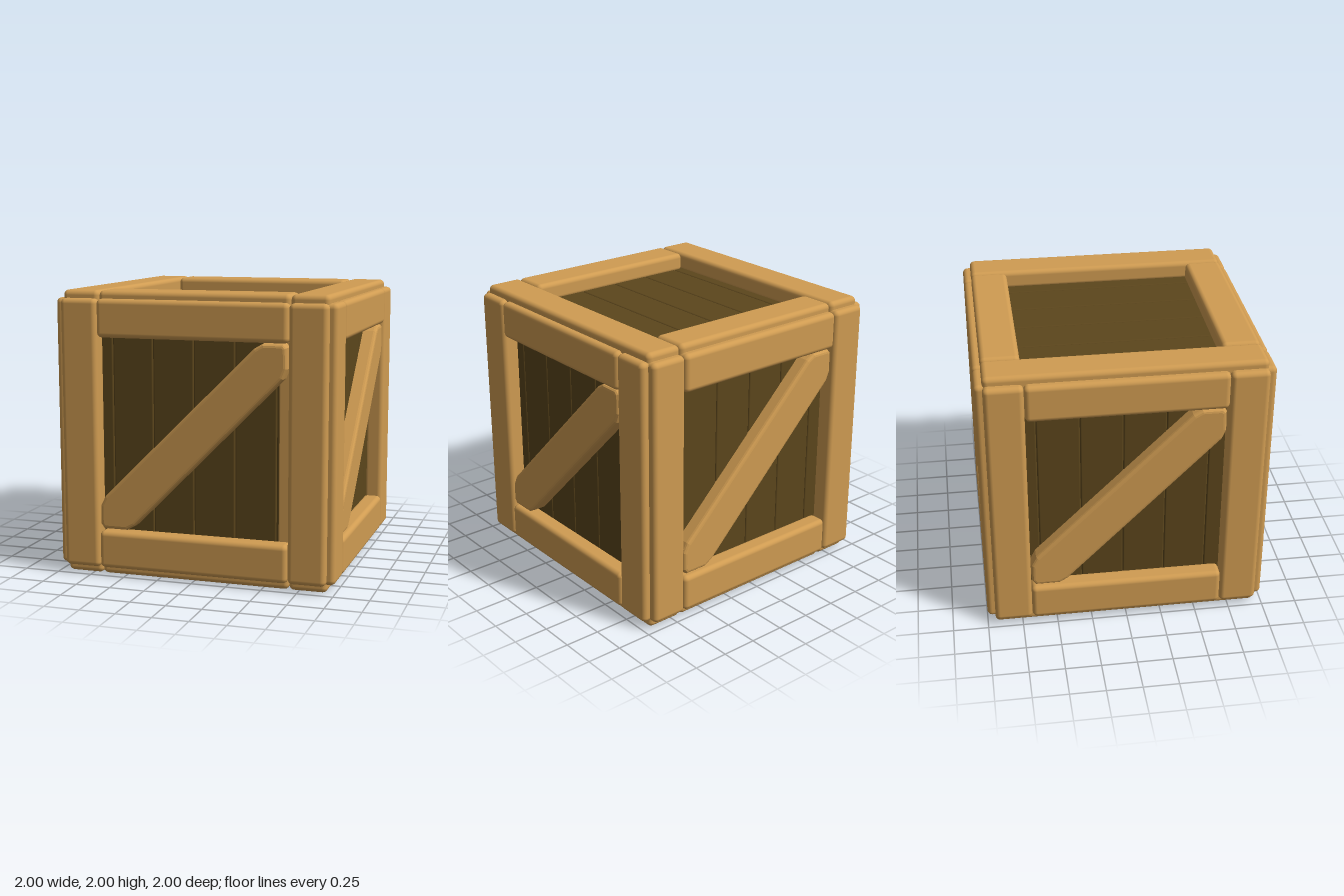
import * as THREE from 'three';
import { RoundedBoxGeometry } from 'three/addons/geometries/RoundedBoxGeometry.js';

const OUT = 0.945, IN = 0.68, DEPTH = 0.14, PANEL = 0.88;
const light = new THREE.MeshStandardMaterial({ color: 0xd09c52 });
const dark = new THREE.MeshStandardMaterial({ color: 0x5c461c });

// Rounded board given by its limits on each axis
function board(name, material, x0, x1, y0, y1, z0, z1, radius) {
  const geometry = new RoundedBoxGeometry(x1 - x0, y1 - y0, z1 - z0, 3, radius);
  const mesh = new THREE.Mesh(geometry, material);
  mesh.position.set((x0 + x1) / 2, (y0 + y1) / 2, (z0 + z1) / 2);
  mesh.name = name;
  return mesh;
}

// Diagonal brace with ends cut to fit the frame corners
function brace() {
  const outline = [
    [-0.675, -0.63], [-0.65, -0.665], [-0.48, -0.665], [-0.42, -0.63],
    [0.64, 0.44], [0.668, 0.51], [0.665, 0.65], [0.64, 0.675],
    [0.5, 0.675], [0.44, 0.64], [-0.64, -0.43], [-0.675, -0.5],
  ].map(([x, y]) => new THREE.Vector2(x, y));
  const geometry = new THREE.ExtrudeGeometry(new THREE.Shape(outline), {
    depth: 0.08, bevelEnabled: true, bevelThickness: 0.025,
    bevelSize: 0.025, bevelOffset: -0.025, bevelSegments: 3,
  });
  const mesh = new THREE.Mesh(geometry, light);
  mesh.position.z = 0.88;
  mesh.name = 'diagonalBrace';
  return mesh;
}

// One face of the crate, looking along +z
function face(name, braced) {
  const group = new THREE.Group();
  group.name = name;
  for (const s of [-1, 1]) {
    const [a, b] = s > 0 ? [IN, OUT] : [-OUT, -IN];
    group.add(board('longFrameBoard', light, a, b, -OUT, OUT, 1 - DEPTH, 1, 0.035));
    group.add(board('shortFrameBoard', light, -IN, IN, a, b, 1 - DEPTH, 1, 0.035));
  }
  // Recessed planks
  const edges = [-0.86, -0.605, -0.31, -0.015, 0.28, 0.575, 0.86];
  for (let i = 0; i < edges.length - 1; i++) {
    group.add(board('plank', dark, edges[i], edges[i + 1], -0.86, 0.86, PANEL - 0.06, PANEL, 0.012));
  }
  if (braced) group.add(brace());
  return group;
}

export function createModel() {
  const crate = new THREE.Group();
  crate.name = 'crate';
  const body = new THREE.Group();
  body.name = 'crateBody';
  body.position.y = 1;
  crate.add(body);

  // Four braced sides
  ['frontSide', 'leftSide', 'backSide', 'rightSide'].forEach((name, i) => {
    const side = face(name, true);
    side.rotation.y = i * Math.PI / 2;
    body.add(side);
  });

  // Lid and base
  for (const [name, s] of [['lid', -1], ['base', 1]]) {
    const panel = face(name, false);
    panel.rotation.x = s * Math.PI / 2;
    body.add(panel);
  }

  // Pale strip beside the front planks
  body.add(board('edgeStrip', light, 0.59, 0.72, -0.7, 0.7, PANEL - 0.05, PANEL + 0.004, 0.01));
  return crate;
}
